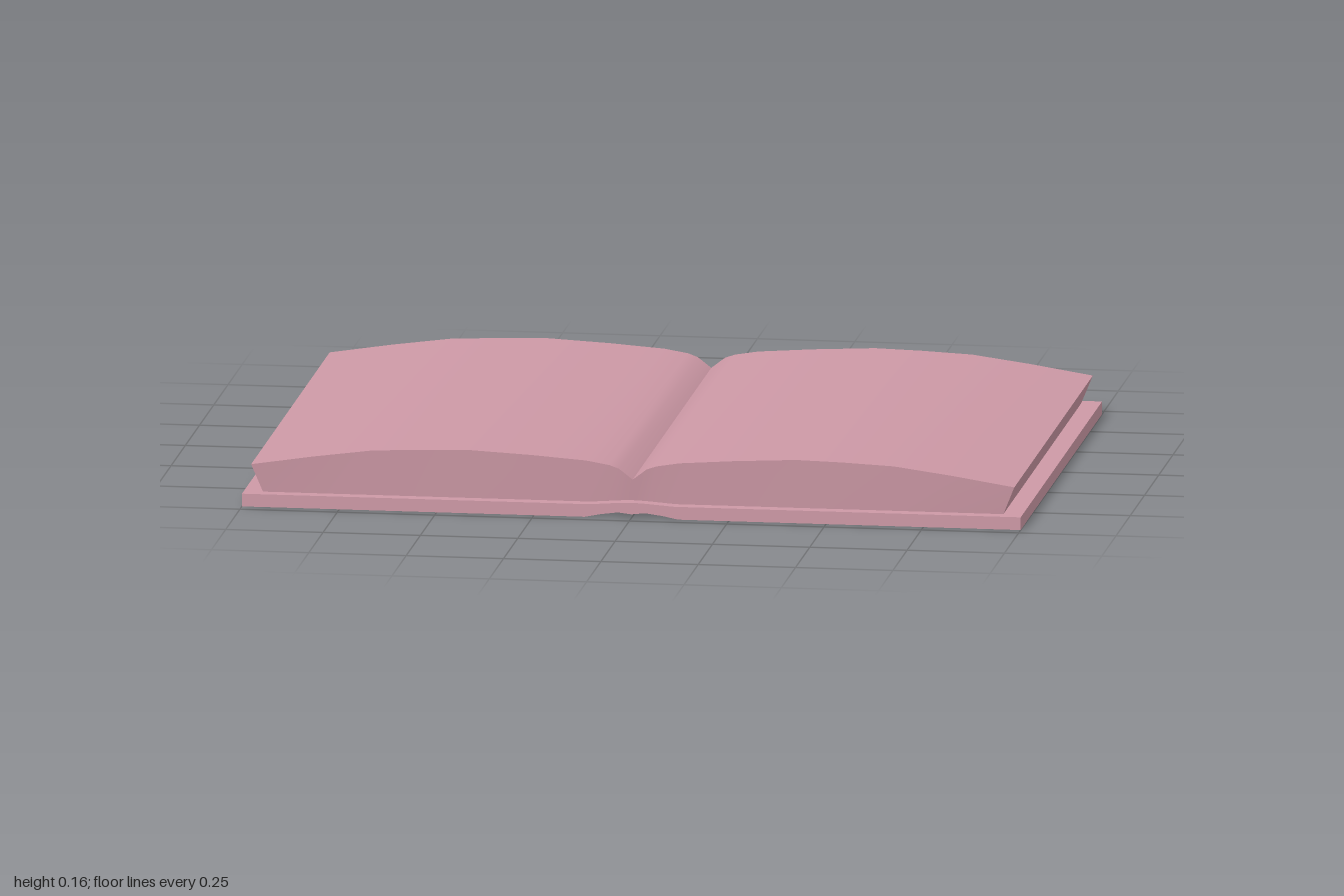
import * as THREE from 'three';
import { toCreasedNormals } from 'three/addons/utils/BufferGeometryUtils.js';

// Slab lofted along x. Each column is [topX, topY, bottomX, bottomY];
// the depth may differ between the top and the bottom face.
function slab(columns, topZ, bottomZ) {
  const positions = [];
  const rings = columns.map(([tx, ty, bx, by]) => [
    [tx, ty, topZ], [tx, ty, -topZ], [bx, by, -bottomZ], [bx, by, bottomZ],
  ]);
  const quad = (a, b, c, d) => positions.push(...a, ...b, ...c, ...a, ...c, ...d);
  for (let i = 0; i < rings.length - 1; i++) {
    for (let j = 0; j < 4; j++) {
      const k = (j + 1) % 4;
      quad(rings[i][j], rings[i + 1][j], rings[i + 1][k], rings[i][k]);
    }
  }
  quad(...rings[0]);
  quad(...[...rings[rings.length - 1]].reverse());
  const geometry = new THREE.BufferGeometry();
  geometry.setAttribute('position', new THREE.Float32BufferAttribute(positions, 3));
  return toCreasedNormals(geometry, 0.6);
}

// Mirrors the columns of the +x half (listed from the middle outward) to -x
function mirrored(half) {
  const left = half.slice(1).reverse().map(([tx, ty, bx, by]) => [-tx, ty, -bx, by]);
  return [...left, ...half];
}

export function createModel() {
  const group = new THREE.Group();
  group.name = 'openBook';
  const material = new THREE.MeshStandardMaterial({ color: 0xcc98a5 });

  const add = (name, half, topZ, bottomZ) => {
    const mesh = new THREE.Mesh(slab(mirrored(half), topZ, bottomZ), material);
    mesh.name = name;
    group.add(mesh);
  };

  // Flat cover with a slightly raised spine
  add('cover', [
    [0, 0.04, 0, 0.01],
    [0.03, 0.039, 0.035, 0.014],
    [0.11, 0.033, 0.08, 0.008],
    [0.13, 0.033, 0.12, 0],
    [1, 0.033, 1, 0],
  ], 0.715, 0.715);

  // Two arched page blocks meeting in the gutter, fore edges slanting inward
  add('pages', [
    [0, 0.095, 0, 0.036],
    [0.035, 0.122, 0.035, 0.036],
    [0.06, 0.131, 0.06, 0.034],
    [0.12, 0.141, 0.12, 0.031],
    [0.26, 0.151, 0.25, 0.031],
    [0.42, 0.159, 0.41, 0.031],
    [0.54, 0.156, 0.52, 0.031],
    [0.67, 0.15, 0.65, 0.031],
    [0.82, 0.13, 0.79, 0.031],
    [0.98, 0.105, 0.95, 0.031],
  ], 0.69, 0.682);

  return group;
}
